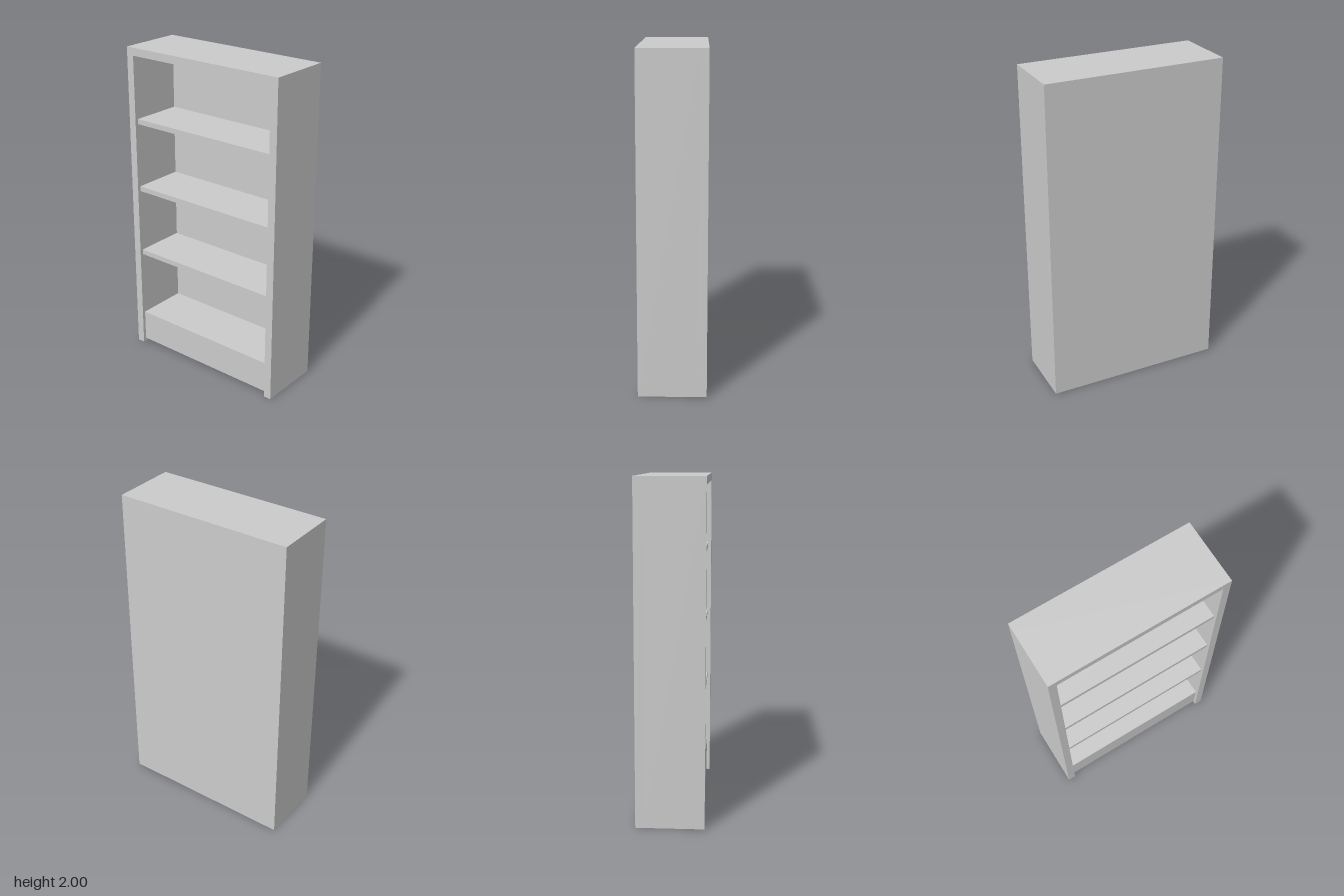
import * as THREE from 'three';

const W = 1.1, H = 2, D = 0.4;      // outer size
const T = 0.048;                    // board thickness
const BACK = 0.05;                  // back panel thickness
const INSET = 0.02;                 // shelves sit behind the front edge

export function createModel() {
  const group = new THREE.Group();
  group.name = 'bookcase';
  const material = new THREE.MeshStandardMaterial({ color: 0xcccccc });

  const add = (name, geometry, x, y, z) => {
    const mesh = new THREE.Mesh(geometry, material);
    mesh.name = name;
    mesh.position.set(x, y, z);
    group.add(mesh);
  };

  // Sides and top: one inverted U, extruded forward from the back panel
  const o = W / 2, i = o - T;
  const outline = [[-o, 0], [-i, 0], [-i, H - T], [i, H - T], [i, 0], [o, 0], [o, H], [-o, H]];
  const frame = new THREE.Shape(outline.map(([x, y]) => new THREE.Vector2(x, y)));
  add('frame', new THREE.ExtrudeGeometry(frame, { depth: D - BACK, bevelEnabled: false }), 0, 0, -D / 2 + BACK);

  // Back panel
  add('backPanel', new THREE.BoxGeometry(W, H, BACK), 0, H / 2, -D / 2 + BACK / 2);

  // Boards that span the opening, given by their bottom and top heights
  const depth = D - BACK - INSET;
  const board = (name, y0, y1) =>
    add(name, new THREE.BoxGeometry(2 * i, y1 - y0, depth), 0, (y0 + y1) / 2, -D / 2 + BACK + depth / 2);

  // Raised base and three evenly spaced shelves
  board('base', 0.022, 0.222);
  for (let n = 0; n < 3; n++) {
    const y = 0.648 + n * 0.439;
    board(`shelf${n + 1}`, y, y + 0.032);
  }
  return group;
}
